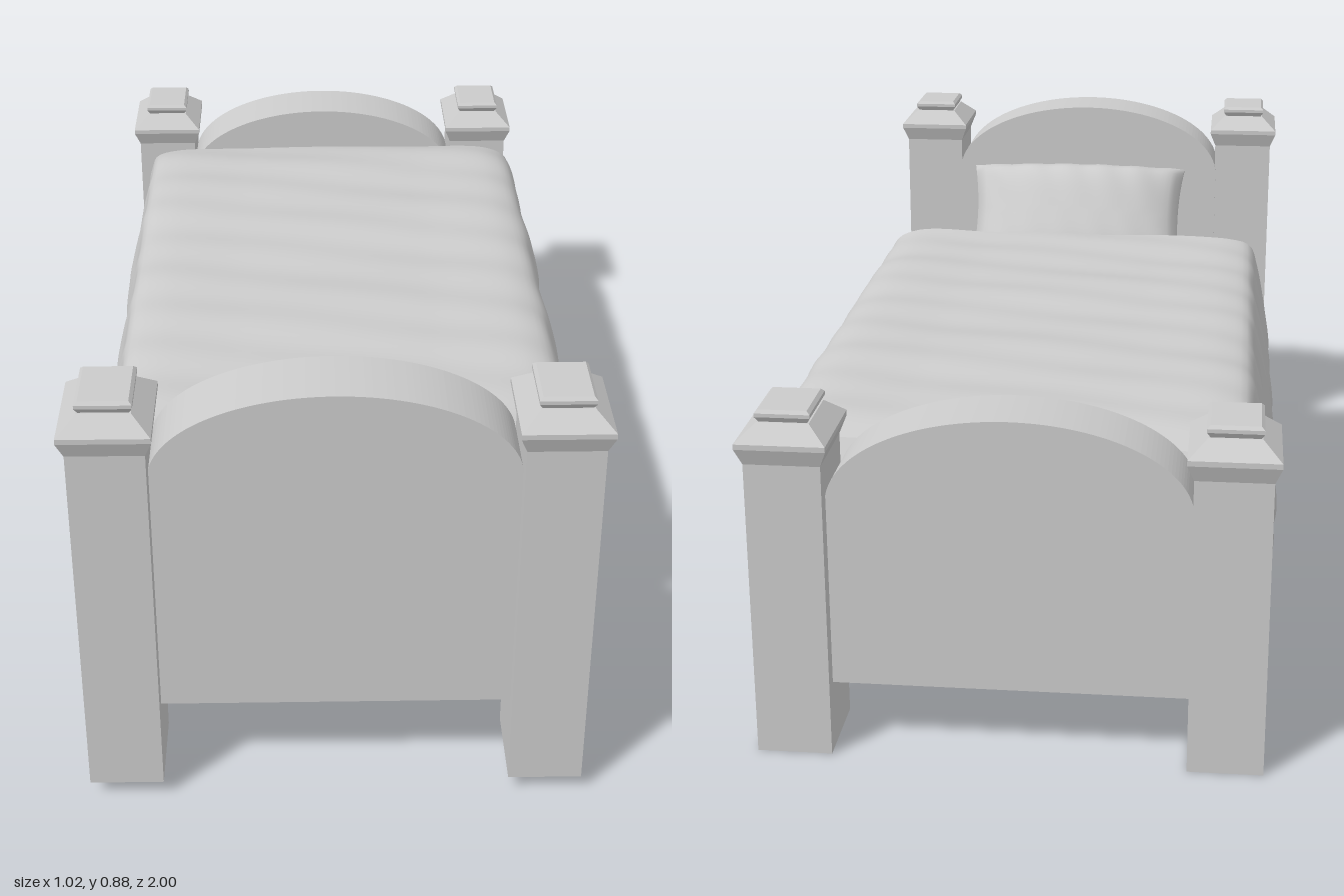
import * as THREE from 'three';

const grey = new THREE.MeshStandardMaterial({ color: 0xcccccc });
const cloth = new THREE.MeshStandardMaterial({ color: 0xcccccc, side: THREE.DoubleSide });

function add(parent, name, geometry, material = grey) {
  const mesh = new THREE.Mesh(geometry, material);
  mesh.name = name;
  parent.add(mesh);
  return mesh;
}

// Box whose bottom (w0 x d0) and top (w1 x d1) differ in size
function frustum(y0, y1, w0, d0, w1, d1) {
  const g = new THREE.BoxGeometry(1, y1 - y0, 1).toNonIndexed();
  const p = g.attributes.position;
  for (let i = 0; i < p.count; i++) {
    const top = p.getY(i) > 0;
    p.setX(i, p.getX(i) * (top ? w1 : w0));
    p.setZ(i, p.getZ(i) * (top ? d1 : d0));
  }
  g.translate(0, (y0 + y1) / 2, 0);
  g.computeVertexNormals();
  return g;
}

// Square post with a flared collar, a sloping shoulder and a small cap
function makePost(name, x, z, bottom, top) {
  const post = new THREE.Group();
  post.name = name;
  post.position.set(x, 0, z);
  const layers = [
    ['shaft', bottom, top - 0.096, 0, 0],
    ['collar', top - 0.096, top - 0.064, 0, 0.025],
    ['collarEdge', top - 0.064, top - 0.054, 0.025, 0.025],
    ['shoulder', top - 0.054, top - 0.023, 0.025, -0.045],
    ['capFlare', top - 0.023, top - 0.013, -0.052, -0.04],
    ['capEdge', top - 0.013, top - 0.006, -0.04, -0.04],
    ['capTop', top - 0.006, top, -0.04, -0.052],
  ];
  for (const [part, y0, y1, a, b] of layers)
    add(post, part, frustum(y0, y1, 0.141 + a, 0.171 + a, 0.141 + b, 0.171 + b));
  return post;
}

// Arched board standing between two posts
function archedBoard(bottom, shoulder, top) {
  const half = 0.334;
  const s = new THREE.Shape();
  s.moveTo(-half, bottom);
  s.lineTo(half, bottom);
  s.lineTo(half, shoulder);
  s.absellipse(0, shoulder, half, top - shoulder, 0, Math.PI, false);
  s.lineTo(-half, bottom);
  const g = new THREE.ExtrudeGeometry(s, { depth: 0.141, bevelEnabled: false, curveSegments: 40 });
  return g.translate(-0.017, 0, -0.0705);
}

// Mattress: rounded plan with rolled edges
function mattressGeometry() {
  const b = 0.045, w = 0.4125 - b, l = 0.7675 - b, r = 0.07;
  const s = new THREE.Shape();
  s.absarc(w - r, l - r, r, 0, Math.PI / 2);
  s.absarc(-w + r, l - r, r, Math.PI / 2, Math.PI);
  s.absarc(-w + r, -l + r, r, Math.PI, Math.PI * 1.5);
  s.absarc(w - r, -l + r, r, Math.PI * 1.5, Math.PI * 2);
  const g = new THREE.ExtrudeGeometry(s, {
    depth: 0.3 - 2 * b, bevelThickness: b, bevelSize: b, bevelSegments: 6, curveSegments: 8,
  });
  return g.rotateX(-Math.PI / 2).translate(0.006, 0.178 + b, -0.043);
}

// Grid surface from a function (u, v) -> Vector3
function gridSurface(nu, nv, fn) {
  const g = new THREE.PlaneGeometry(1, 1, nu, nv);
  const p = g.attributes.position;
  for (let i = 0; i < p.count; i++) {
    const q = fn(p.getX(i) + 0.5, p.getY(i) + 0.5);
    p.setXYZ(i, q.x, q.y, q.z);
  }
  g.computeVertexNormals();
  return g;
}

// Blanket: one drape profile swept along z, with folds growing down the sides
function blanketGeometry() {
  const profile = new THREE.CatmullRomCurve3([
    [-0.475, 0.225], [-0.49, 0.29], [-0.475, 0.41], [-0.46, 0.52], [-0.445, 0.568], [-0.4, 0.584],
    [-0.2, 0.59], [0, 0.592], [0.2, 0.59], [0.41, 0.585], [0.457, 0.56],
    [0.482, 0.48], [0.493, 0.37], [0.482, 0.3], [0.465, 0.262],
  ].map(([x, y]) => new THREE.Vector3(x, y, 0)), false, 'centripetal');
  return gridSurface(110, 110, (u, v) => {
    const q = profile.getPointAt(u);
    const drop = THREE.MathUtils.clamp((0.575 - q.y) / 0.32, 0, 1);
    const side = Math.sign(q.x);
    const z = 0.6 - 1.41 * (1 - v);
    const left = side > 0;
    // Vertical folds on the hanging sides, sharper on the -x side
    const wave = left
      ? 0.008 * Math.sin(z * 17 + 1) + 0.005 * Math.sin(z * 31)
      : 0.016 * Math.pow(0.5 + 0.5 * Math.cos((z + 0.62) * 30), 3) + 0.005 * Math.sin(z * 13);
    q.x += side * wave * Math.min(1, drop * 2);
    q.y += drop * 0.012 * Math.sin(z * 11 + (left ? 0 : 2));
    // Soft creases across the top
    const flat = 1 - Math.min(1, drop * 4);
    q.y += flat * (0.004 * Math.sin(z * 15 + q.x * 3) * Math.cos(q.x * 5 + z * 2) + 0.002 * Math.sin(z * 37 - q.x * 9));
    // The foot end sinks a little and the hanging corners pull inwards
    const foot = Math.max(0, 1 - v * 8), head = Math.max(0, v * 8 - 7);
    q.y -= 0.025 * foot * foot * flat;
    q.x -= side * 0.025 * foot * drop;
    q.z = z + drop * drop * (0.05 * foot - (left ? 0.06 : 0) * head);
    q.z += 0.006 * Math.sin(q.x * 21) * head;
    return q;
  });
}

// Pillow: puffed cushion with pinched corners, bowed so its ends lie back
function pillowGeometry() {
  const g = new THREE.BoxGeometry(2, 2, 2, 40, 28, 2);
  const p = g.attributes.position;
  for (let i = 0; i < p.count; i++) {
    const a = p.getX(i), b = p.getY(i), c = p.getZ(i);
    const puff = Math.pow(Math.max(0, (1 - a ** 4) * (1 - b ** 4)), 0.45);
    const x = a * 0.273 * (1 - 0.05 * (1 - b * b));
    const y = b * 0.142 * (1 - 0.04 * (1 - a * a));
    const ripple = 0.003 * Math.sin(a * 19 + b * 4) * Math.abs(b);
    p.setXYZ(i, x, y, c * (0.006 + 0.052 * puff) + 0.012 - 0.04 * a * a + ripple);
  }
  g.computeVertexNormals();
  return g;
}

export function createModel() {
  const bed = new THREE.Group();
  bed.name = 'bed';

  // Corner posts
  for (const [side, x] of [['Right', -0.419], ['Left', 0.386]]) {
    bed.add(makePost('headPost' + side, x, 0.904, 0.033, 0.875));
    bed.add(makePost('footPost' + side, x, -0.902, 0, 0.675));
  }

  // End boards
  add(bed, 'headboard', archedBoard(0.195, 0.705, 0.873)).position.z = 0.882;
  add(bed, 'footboard', archedBoard(0.134, 0.495, 0.665)).position.z = -0.886;

  // Side rails
  for (const [name, x] of [['railRight', -0.405], ['railLeft', 0.412]])
    add(bed, name, new THREE.BoxGeometry(0.052, 0.095, 1.66)).position.set(x, 0.262, 0);

  // Bedding
  add(bed, 'mattress', mattressGeometry());
  add(bed, 'blanket', blanketGeometry(), cloth);
  const pillow = add(bed, 'pillow', pillowGeometry(), cloth);
  pillow.position.set(0.002, 0.612, 0.694);
  pillow.rotation.set(-0.57, Math.PI, 0, 'YXZ');

  return bed;
}
